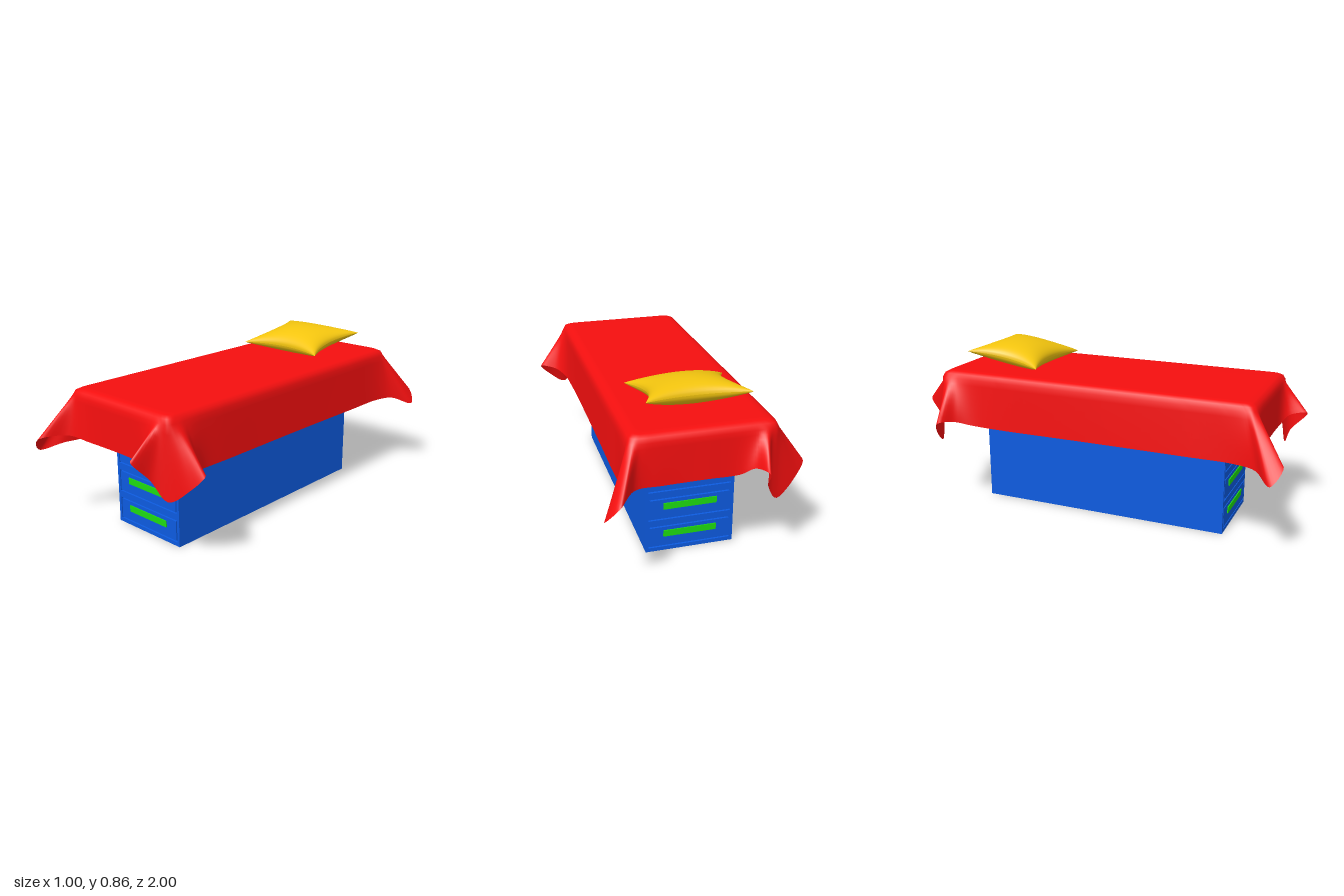
import * as THREE from 'three';
import { mergeGeometries } from 'three/addons/utils/BufferGeometryUtils.js';
import { RoundedBoxGeometry } from 'three/addons/geometries/RoundedBoxGeometry.js';

const mat = (color, side = THREE.FrontSide) => new THREE.MeshStandardMaterial({ color, side });
const red = mat(0xf50f0f, THREE.DoubleSide);
const blue = mat(0x0d5be0);
const green = mat(0x1edc10);
const yellow = mat(0xf2c40e);

function add(parent, name, geometry, material, x = 0, y = 0, z = 0) {
  const mesh = new THREE.Mesh(geometry, material);
  mesh.name = name;
  mesh.position.set(x, y, z);
  parent.add(mesh);
  return mesh;
}

// One end of the base: a frame with three openings, drawer fronts and flat pulls
function drawerEnd(name) {
  const end = new THREE.Group();
  end.name = name;
  const W = 0.44, H = 0.53, depth = 0.012;
  const frame = new THREE.Shape([[-W / 2, 0], [W / 2, 0], [W / 2, H], [-W / 2, H]].map(p => new THREE.Vector2(...p)));
  for (const y of [0.078, 0.228, 0.38]) {
    const w = 0.205, h = 0.058;
    frame.holes.push(new THREE.Path([[-w, y - h], [-w, y + h], [w, y + h], [w, y - h]].map(p => new THREE.Vector2(...p))));
    add(end, 'drawerFront', new THREE.BoxGeometry(0.396, 0.102, depth), blue, 0, y, depth / 2);
    add(end, 'drawerHandle', new THREE.BoxGeometry(0.265, 0.033, 0.008), green, 0, y + 0.016, depth + 0.001);
  }
  add(end, 'drawerFrame', new THREE.ExtrudeGeometry(frame, { depth, bevelEnabled: false }), blue);
  return end;
}

// Draped blanket: half of its outline as [shoulder x, shoulder z, hem x, hem y, hem z];
// the other half is the same turned by 180 degrees
const outline = [
  [0.348, 0, 0.357, 0.435, 0],
  [0.348, 0.5, 0.36, 0.435, 0.5],
  [0.348, 0.66, 0.375, 0.445, 0.66],
  [0.348, 0.74, 0.42, 0.468, 0.73],
  [0.348, 0.79, 0.5, 0.475, 0.78],
  [0.345, 0.825, 0.45, 0.41, 0.82],
  [0.335, 0.842, 0.345, 0.335, 0.86],
  [0.315, 0.848, 0.28, 0.43, 0.9],
  [0.285, 0.85, 0.25, 0.535, 0.985],
  [0.24, 0.85, 0.215, 0.525, 0.9],
  [0.15, 0.85, 0.16, 0.485, 0.865],
  [0, 0.85, 0, 0.48, 0.858],
  [-0.2, 0.85, -0.2, 0.48, 0.863],
  [-0.29, 0.85, -0.33, 0.49, 0.89],
  [-0.325, 0.845, -0.42, 0.475, 1.0],
  [-0.343, 0.83, -0.48, 0.395, 0.955],
  [-0.348, 0.8, -0.4, 0.43, 0.87],
  [-0.348, 0.7, -0.367, 0.435, 0.77],
  [-0.348, 0.5, -0.36, 0.435, 0.5],
];

function blanketGeometry() {
  const loop = [...outline, ...outline.map(([a, b, c, d, e]) => [-a, -b, -c, d, -e])];
  const shoulder = new THREE.CatmullRomCurve3(loop.map(r => new THREE.Vector3(r[0], 0.685, r[1])), true);
  const hem = new THREE.CatmullRomCurve3(loop.map(r => new THREE.Vector3(r[2], r[3], r[4])), true);
  const N = loop.length * 6, drop = 8;
  const rounding = [[0.06, 0.72], [0.03, 0.718], [0.01, 0.707]]; // inset, height
  const rings = [[], ...rounding.map(() => [])];
  for (let k = 0; k <= drop; k++) rings.push([]);
  for (let j = 0; j < N; j++) {
    const s = shoulder.getPoint(j / N), h = hem.getPoint(j / N);
    rings[0].push(new THREE.Vector3(0, 0.72, THREE.MathUtils.clamp(s.z, -0.55, 0.55)));
    rounding.forEach(([inset, y], i) =>
      rings[i + 1].push(new THREE.Vector3(s.x * (1 - inset / 0.348), y, s.z * (1 - inset / 0.85))));
    for (let k = 0; k <= drop; k++) rings[k + 4].push(s.clone().lerp(h, k / drop));
  }
  const index = [];
  for (let i = 0; i < rings.length - 1; i++) {
    for (let j = 0; j < N; j++) {
      const n = (j + 1) % N, a = i * N + j, b = i * N + n, c = a + N, d = b + N;
      index.push(a, b, c, b, d, c);
    }
  }
  const geometry = new THREE.BufferGeometry().setFromPoints(rings.flat());
  geometry.setIndex(index);
  geometry.computeVertexNormals();
  return geometry;
}

// Cushion: two puffed sheets meeting at a pinched seam with pointed corners
function pillowGeometry() {
  const halves = [1, -1].map(side => {
    const sheet = new THREE.PlaneGeometry(2, 2, 28, 28).rotateX(-side * Math.PI / 2);
    const p = sheet.attributes.position;
    for (let i = 0; i < p.count; i++) {
      // crowd the grid towards the seam
      const u = Math.sin(p.getX(i) * Math.PI / 2), v = Math.sin(p.getZ(i) * Math.PI / 2);
      const puff = Math.pow(Math.max(0, (1 - u * u) * (1 - v * v)), 0.45);
      p.setXYZ(i, 0.25 * u * (1 - 0.22 * (1 - v * v)), side * 0.067 * puff, 0.205 * v * (1 - 0.22 * (1 - u * u)));
    }
    sheet.computeVertexNormals();
    return sheet;
  });
  return mergeGeometries(halves);
}

export function createModel() {
  const model = new THREE.Group();
  model.name = 'bed';

  // Base with drawers at both ends
  const base = new THREE.Group();
  base.name = 'base';
  base.position.z = 0.018;
  model.add(base);
  add(base, 'baseBody', new THREE.BoxGeometry(0.44, 0.53, 1.306), blue, 0, 0.265, 0);
  const front = drawerEnd('frontDrawers'), back = drawerEnd('backDrawers');
  front.position.z = 0.653;
  back.position.z = -0.653;
  back.rotation.y = Math.PI;
  base.add(front, back);

  // Bedding
  add(model, 'mattress', new RoundedBoxGeometry(0.65, 0.175, 1.63, 4, 0.03), yellow, 0, 0.6175, 0);
  add(model, 'blanket', blanketGeometry(), red);
  const pillow = add(model, 'pillow', pillowGeometry(), yellow, -0.012, 0.786, -0.522);
  pillow.rotation.x = 0.15;

  return model;
}
